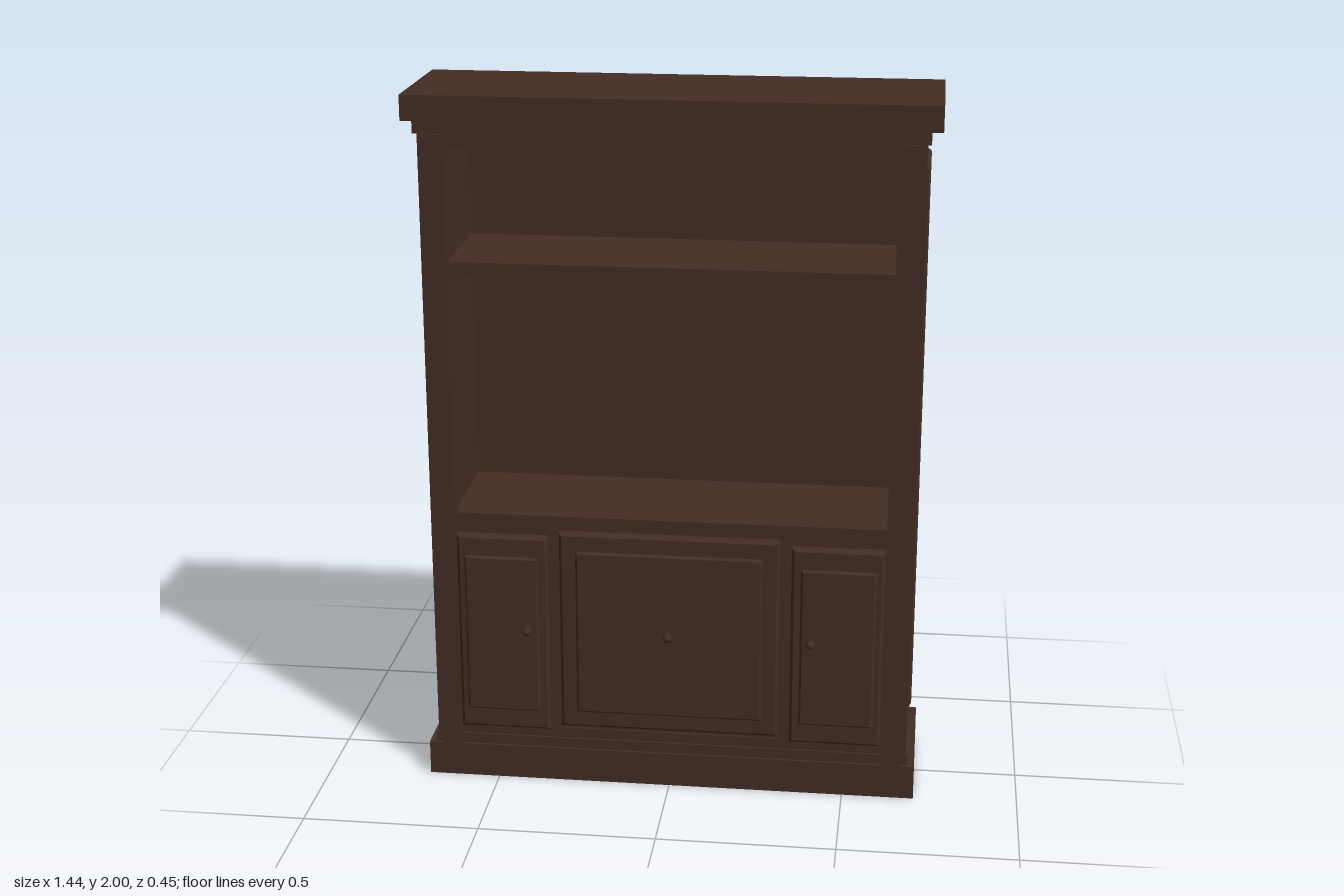
import * as THREE from 'three';

export function createModel() {
  const model = new THREE.Group();
  const wood = new THREE.MeshStandardMaterial({ color: 0x432d23 });
  wood.name = 'dark walnut';

  const add = (name, geometry, parent = model) => {
    const mesh = new THREE.Mesh(geometry, wood);
    mesh.name = name;
    parent.add(mesh);
    return mesh;
  };

  // Box given by its limits on each axis
  const box = (name, x0, x1, y0, y1, z0, z1, parent) => {
    const mesh = add(name, new THREE.BoxGeometry(x1 - x0, y1 - y0, z1 - z0), parent);
    mesh.position.set((x0 + x1) / 2, (y0 + y1) / 2, (z0 + z1) / 2);
    return mesh;
  };

  const rectangle = (target, w, h) => target
    .moveTo(-w / 2, -h / 2).lineTo(w / 2, -h / 2)
    .lineTo(w / 2, h / 2).lineTo(-w / 2, h / 2).closePath();

  // Chamfered slab from z = 0 to depth, facing +z
  const slab = (w, h, depth, chamfer) => {
    const shape = rectangle(new THREE.Shape(), w - 2 * chamfer, h - 2 * chamfer);
    const geo = new THREE.ExtrudeGeometry(shape, {
      depth: depth - chamfer, bevelEnabled: true, bevelSegments: 1,
      bevelSize: chamfer, bevelThickness: chamfer,
    });
    return geo;
  };

  // Plinth, base moulding, cornice and crown
  box('plinth', -0.705, 0.705, 0, 0.1, -0.215, 0.18);
  box('baseMoulding', -0.685, 0.685, 0.1, 0.13, -0.203, 0.17);
  box('cornice', -0.69, 0.69, 1.895, 1.935, -0.21, 0.177);
  box('crown', -0.72, 0.72, 1.93, 2, -0.225, 0.185);

  // Carcass
  box('backPanel', -0.665, 0.665, 0.1, 1.9, -0.2, -0.18);
  box('cabinetBottom', -0.62, 0.62, 0.1, 0.16, -0.18, 0.165);
  box('cabinetTop', -0.62, 0.62, 1.875, 1.9, -0.18, 0.16);
  for (const s of [-1, 1]) {
    const side = new THREE.Group();
    side.name = s > 0 ? 'leftSide' : 'rightSide';
    model.add(side);
    const outer = (name, a, b, y0, y1, z0, z1) =>
      box(name, Math.min(s * a, s * b), Math.max(s * a, s * b), y0, y1, z0, z1, side);
    outer('sideWall', 0.612, 0.68, 0.1, 1.9, -0.193, 0.165);
    outer('pilaster', 0.607, 0.665, 0.1, 1.895, 0.14, 0.187);
    // Raised panel on the outer face
    const panel = add('sidePanel', slab(0.27, 1.56, 0.012, 0.006), side);
    panel.rotation.y = s * Math.PI / 2;
    panel.position.set(s * 0.678, 1.04, -0.025);
  }

  // Shelves and top rail
  box('topRail', -0.607, 0.607, 1.857, 1.897, 0.13, 0.168);
  box('upperShelf', -0.612, 0.612, 1.505, 1.54, -0.18, 0.155);
  box('counterShelf', -0.612, 0.612, 0.775, 0.815, -0.18, 0.165);

  // Face frame around the doors
  box('faceBack', -0.612, 0.612, 0.13, 0.78, 0.1, 0.16);
  box('bottomRail', -0.607, 0.607, 0.1, 0.13, 0.1, 0.172);
  for (const s of [-1, 1]) {
    box('divider', s * 0.328 - 0.015, s * 0.328 + 0.015, 0.13, 0.775, 0.15, 0.167);
  }

  // Door: chamfered leaf, raised field and a turned knob
  const knobProfile = [[0, 0], [0.007, 0], [0.006, 0.012], [0.011, 0.019],
    [0.014, 0.026], [0.011, 0.034], [0, 0.038]].map(([r, z]) => new THREE.Vector2(r, z));
  const knobGeometry = new THREE.LatheGeometry(knobProfile, 16).rotateX(Math.PI / 2);

  const door = (name, x0, x1, y0, y1, px0, px1, py0, py1, knobX) => {
    const group = new THREE.Group();
    group.name = name;
    model.add(group);
    const leaf = add('doorLeaf', slab(x1 - x0, y1 - y0, 0.029, 0.008), group);
    leaf.position.set((x0 + x1) / 2, (y0 + y1) / 2, 0.157);
    const field = add('doorField', slab(px1 - px0, py1 - py0, 0.015, 0.006), group);
    field.position.set((px0 + px1) / 2, (py0 + py1) / 2, 0.179);
    add('knob', knobGeometry, group).position.set(knobX, 0.48, 0.19);
  };
  door('rightDoor', -0.605, -0.345, 0.16, 0.755, -0.583, -0.372, 0.22, 0.695, -0.403);
  door('centreDoor', -0.312, 0.312, 0.175, 0.772, -0.265, 0.265, 0.225, 0.72, 0);
  door('leftDoor', 0.345, 0.605, 0.16, 0.755, 0.372, 0.583, 0.22, 0.695, 0.403);

  return model;
}
